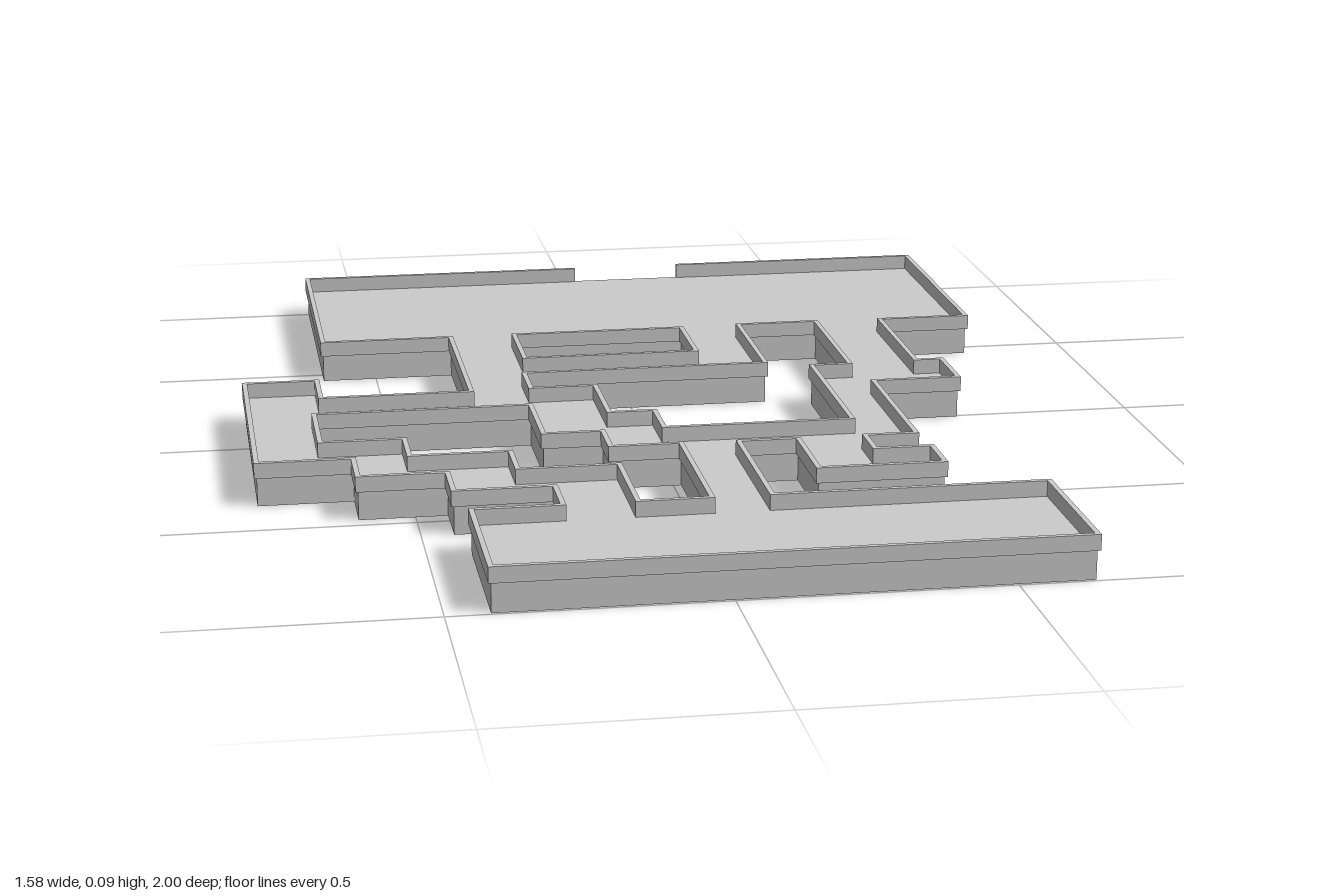
import * as THREE from 'three';

const FLOOR = 0.055, TOP = 0.085, RIM = 0.01;

// Outlines as flat x, z pairs
const OUTER = [
  -0.61, -0.995, 0.78, -0.995, 0.78, -0.455, 0.59, -0.455, 0.59, -0.13, 0.645, -0.13,
  0.645, 0.005, 0.47, 0.005, 0.47, 0.365, 0.37, 0.365, 0.37, 0.45, 0.48, 0.45,
  0.48, 0.55, 0.24, 0.55, 0.24, 0.365, 0.125, 0.365, 0.125, 0.69, 0.64, 0.69,
  0.64, 0.995, -0.42, 0.995, -0.42, 0.69, -0.255, 0.69, -0.255, 0.58, -0.44, 0.58,
  -0.44, 0.47, -0.605, 0.47, -0.605, 0.36, -0.785, 0.36, -0.785, -0.17, -0.64, -0.17,
  -0.64, -0.045, -0.34, -0.045, -0.34, -0.455, -0.61, -0.455,
];
const SMALL_HOLE = [-0.205, -0.455, 0.155, -0.455, 0.155, -0.27, -0.205, -0.27];
const CENTRE_HOLE = [
  0.28, -0.46, 0.45, -0.46, 0.45, -0.125, 0.37, -0.125, 0.37, 0.255, 0, 0.255,
  0, 0.14, -0.09, 0.14, -0.09, -0.05, -0.22, -0.05, -0.22, -0.16, 0.28, -0.16,
];
const SIDE_HOLE = [
  -0.66, 0.065, -0.235, 0.065, -0.235, 0.26, -0.12, 0.26, -0.12, 0.36, 0.015, 0.36, 0.015, 0.69,
  -0.12, 0.69, -0.12, 0.47, -0.31, 0.47, -0.31, 0.36, -0.5, 0.36, -0.5, 0.25, -0.66, 0.25,
];
const DOORWAY = [0, 0.235]; // x range left open in the back rim

const toPoints = (flat) =>
  Array.from({ length: flat.length / 2 }, (_, i) => new THREE.Vector2(flat[2 * i], flat[2 * i + 1]));

export function createModel() {
  const model = new THREE.Group();
  const material = new THREE.MeshStandardMaterial({ color: 0xcccccc, side: THREE.DoubleSide });

  // Floor sheet with openings
  const holes = [SMALL_HOLE, CENTRE_HOLE, SIDE_HOLE].map(toPoints);
  const outer = toPoints(OUTER);
  const shape = new THREE.Shape(outer);
  shape.holes = holes.map((points) => new THREE.Path(points));
  const floor = new THREE.Mesh(new THREE.ShapeGeometry(shape).rotateX(Math.PI / 2), material);
  floor.position.y = FLOOR;
  floor.name = 'floor';
  model.add(floor);

  const skirts = new THREE.Group();
  skirts.name = 'lowerWalls';
  const rims = new THREE.Group();
  rims.name = 'upperRim';
  model.add(skirts, rims);

  const place = (group, name, geometry, a, b, y) => {
    const mesh = new THREE.Mesh(geometry, material);
    mesh.position.set((a.x + b.x) / 2, y, (a.y + b.y) / 2);
    mesh.rotation.y = -Math.atan2(b.y - a.y, b.x - a.x);
    mesh.name = name;
    group.add(mesh);
  };
  const addRim = (a, b) => {
    const box = new THREE.BoxGeometry(a.distanceTo(b) + RIM, TOP - FLOOR, RIM);
    place(rims, 'rimWall', box, a, b, (TOP + FLOOR) / 2);
  };

  // A hanging sheet below and a raised rim above every edge
  for (const loop of [outer, ...holes]) {
    loop.forEach((a, i) => {
      const b = loop[(i + 1) % loop.length];
      place(skirts, 'lowerWall', new THREE.PlaneGeometry(a.distanceTo(b), FLOOR), a, b, FLOOR / 2);
      if (loop === outer && i === 0) {
        // Back rim, split by the doorway
        addRim(a, new THREE.Vector2(DOORWAY[0] - RIM / 2, a.y));
        addRim(new THREE.Vector2(DOORWAY[1] + RIM / 2, a.y), b);
      } else {
        addRim(a, b);
      }
    });
  }
  return model;
}
